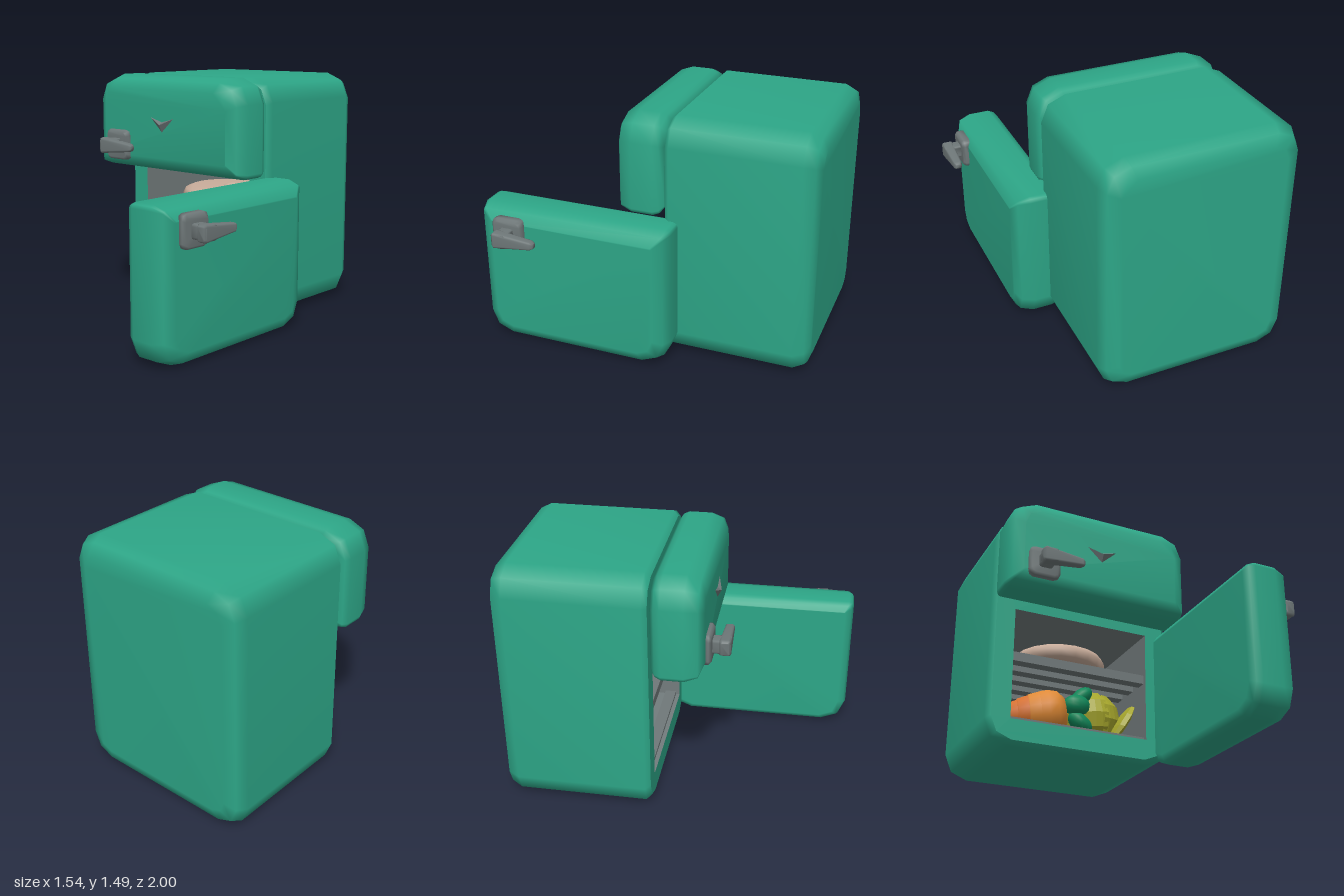
import * as THREE from 'three';

const mat = (name, color, extra = {}) => {
  const m = new THREE.MeshStandardMaterial({ color, ...extra });
  m.name = name;
  return m;
};

// Rounded rectangle outline, counter-clockwise, with separate top and bottom corner radii
function ring({ x0, x1, y0, y1, rT, rB }, inset) {
  const pts = [];
  const a = x0 + inset, b = x1 - inset, c = y0 + inset, d = y1 - inset;
  const t = Math.max(rT - inset * 0.6, 0.008), u = Math.max(rB - inset * 0.6, 0.008);
  [[b - t, d - t, t, 0], [a + t, d - t, t, 1], [a + u, c + u, u, 2], [b - u, c + u, u, 3]].forEach(([x, y, r, q]) => {
    for (let i = 0; i < 3; i++) {
      const ang = (q + i / 2) * Math.PI / 2;
      pts.push([x + r * Math.cos(ang), y + r * Math.sin(ang)]);
    }
  });
  return pts;
}

// Skin a stack of outlines [z, inset] along z, with optional end caps
function loft(rect, sections, frontCap = true) {
  const pos = [], idx = [], n = 12;
  sections.forEach(([z, inset, own]) => ring(own || rect, inset).forEach(([x, y]) => pos.push(x, y, z)));
  for (let s = 0; s < sections.length - 1; s++) {
    for (let j = 0; j < n; j++) {
      const a = s * n + j, b = s * n + (j + 1) % n;
      idx.push(a, b, b + n, a, b + n, a + n);
    }
  }
  const last = (sections.length - 1) * n;
  for (let j = 1; j < n - 1; j++) {
    idx.push(0, j + 1, j);
    if (frontCap) idx.push(last, last + j, last + j + 1);
  }
  const g = new THREE.BufferGeometry();
  g.setAttribute('position', new THREE.Float32BufferAttribute(pos, 3));
  g.setIndex(idx);
  g.computeVertexNormals();
  return g;
}

const block = (w, h, r) => ({ x0: -w / 2, x1: w / 2, y0: -h / 2, y1: h / 2, rT: r, rB: r });

export function createModel() {
  const model = new THREE.Group();
  model.name = 'refrigerator';
  const green = mat('cabinetGreen', 0x2da687);
  const metal = mat('metalGrey', 0x6f7879);
  const metalFlat = mat('emblemGrey', 0x6f7879, { flatShading: true });
  const liner = mat('linerGrey', 0x737c7d, { side: THREE.DoubleSide });
  const orange = mat('carrotOrange', 0xe08a35);
  const deepOrange = mat('carrotDeepOrange', 0xd9722f);
  const leafGreen = mat('carrotLeafGreen', 0x0f8759);
  const lettuce = mat('cabbageGreen', 0xa6a62c, { flatShading: true, side: THREE.DoubleSide });
  const beige = mat('meatBeige', 0xc9ad9b);

  const add = (name, geo, material, parent = model, p = [0, 0, 0]) => {
    const m = new THREE.Mesh(geo, material);
    m.name = name;
    m.position.set(...p);
    parent.add(m);
    return m;
  };

  // Cabinet shell, with a front face cut open for the food compartment
  const bodyRect = { x0: -0.77, x1: 0.42, y0: 0, y1: 1.49, rT: 0.15, rB: 0.15 };
  add('cabinet', loft(bodyRect, [[-1, 0.1], [-0.975, 0.03], [-0.91, 0], [-0.14, 0], [-0.11, 0.03]], false), green);
  const face = new THREE.Shape(ring(bodyRect, 0.03).map(p => new THREE.Vector2(...p)));
  const hole = [[-0.62, 0.16], [-0.62, 0.87], [0.27, 0.87], [0.27, 0.16]];
  face.holes.push(new THREE.Path(hole.map(p => new THREE.Vector2(...p))));
  add('cabinetFront', new THREE.ShapeGeometry(face), green, model, [0, 0, -0.11]);

  // Open-fronted liner
  const lining = new THREE.BoxGeometry(0.89, 0.71, 0.75);
  const li = Array.from(lining.index.array);
  li.splice(24, 6);
  lining.setIndex(li);
  lining.clearGroups();
  add('liner', lining, liner, model, [-0.175, 0.515, -0.485]);

  // Slatted shelf and floor rack
  for (let i = 0; i < 5; i++) {
    const z = -0.17 - i * 0.15;
    add('shelfSlat', new THREE.BoxGeometry(0.886, 0.058, 0.07), metal, model, [-0.175, 0.57, z]);
    add('floorSlat', new THREE.BoxGeometry(0.886, 0.02, 0.07), metal, model, [-0.175, 0.172, z]);
  }

  // Doors: the lower one is swung open, its outer face towards +x
  const doorSections = [[-0.1, 0.05], [-0.075, 0.015], [-0.04, 0], [0.09, 0], [0.165, 0.025], [0.195, 0.085]];
  add('upperDoor', loft({ x0: -0.77, x1: 0.42, y0: 0.9, y1: 1.49, rT: 0.15, rB: 0.03 }, doorSections), green);
  const lower = add('lowerDoor', loft({ x0: -0.6, x1: 0.6, y0: 0, y1: 0.89, rT: 0.03, rB: 0.15 }, doorSections), green);
  lower.position.set(0.433, 0, 0.4);
  lower.rotation.y = Math.PI / 2;

  // Handle: mounting plate, stem and tapered lever
  const makeHandle = (name) => {
    const h = new THREE.Group();
    h.name = name;
    add('handlePlate', loft(block(0.2, 0.19, 0.035), [[-0.02, 0], [0.02, 0], [0.035, 0.015]]), metal, h);
    add('handleStem', loft(block(0.085, 0.085, 0.015), [[0.02, 0], [0.135, 0]]), metal, h, [0, 0, 0]);
    const lever = add('handleLever', loft(null, [
      [-0.05, 0.012, block(0.07, 0.1, 0.015)], [-0.035, 0, block(0.07, 0.1, 0.015)],
      [0.2, 0, block(0.052, 0.05, 0.012)], [0.218, 0.01, block(0.052, 0.05, 0.012)],
    ]), metal, h, [0, 0, 0.105]);
    lever.rotation.y = Math.PI / 2;
    model.add(h);
    return h;
  };
  makeHandle('upperHandle').position.set(-0.56, 1.048, 0.19);
  const lowerHandle = makeHandle('lowerHandle');
  lowerHandle.position.set(0.628, 0.747, 0.79);
  lowerHandle.rotation.y = Math.PI / 2;

  // Raised chevron ornament
  const L = [-0.295, 1.245, 0.19], R = [-0.065, 1.245, 0.19], N = [-0.18, 1.215, 0.19];
  const B = [-0.18, 1.14, 0.19], M = [-0.18, 1.195, 0.22];
  const chevron = new THREE.BufferGeometry();
  chevron.setAttribute('position', new THREE.Float32BufferAttribute(
    [L, B, M, L, M, N, N, M, R, B, R, M].flat(), 3));
  chevron.computeVertexNormals();
  add('chevronOrnament', chevron, metalFlat);

  // Carrot: overlapping ridged bands along its axis
  const carrot = new THREE.Group();
  carrot.name = 'carrot';
  carrot.position.set(-0.61, 0.28, -0.48);
  carrot.quaternion.setFromUnitVectors(new THREE.Vector3(0, 1, 0), new THREE.Vector3(0.42, 0.055, 0.13).normalize());
  model.add(carrot);
  const bands = [
    [[0, 0], [0.04, 0], [0.085, 0.09]],
    [[0.075, 0.08], [0.09, 0.09], [0.112, 0.16]],
    [[0.102, 0.15], [0.118, 0.16], [0.135, 0.23]],
    [[0.125, 0.22], [0.14, 0.23], [0.153, 0.3]],
    [[0.143, 0.29], [0.155, 0.3], [0.16, 0.35], [0.148, 0.41], [0.1, 0.455], [0, 0.47]],
  ];
  bands.forEach((b, i) => add('carrotBand', new THREE.LatheGeometry(b.map(p => new THREE.Vector2(...p)), 14),
    i < 3 ? deepOrange : orange, carrot));

  // Carrot leaves
  [[-0.13, 0.38, -0.28, 0.09, 0.068, 0.1], [-0.085, 0.455, -0.31, 0.085, 0.05, 0.75], [-0.1, 0.27, -0.29, 0.09, 0.055, -0.6]]
    .forEach(([x, y, z, a, b, tilt]) => {
      const leaf = add('carrotLeaf', new THREE.SphereGeometry(1, 12, 8), leafGreen, model, [x, y, z]);
      leaf.scale.set(a, b, 0.06);
      leaf.rotation.z = tilt;
    });

  // Cabbage: faceted heart wrapped in curved outer leaves
  const cabbage = new THREE.Group();
  cabbage.name = 'cabbage';
  cabbage.position.set(0.05, 0.36, -0.46);
  model.add(cabbage);
  add('cabbageHeart', new THREE.IcosahedronGeometry(0.18, 1), lettuce, cabbage);
  for (let i = 0; i < 5; i++) {
    const leaf = add('cabbageLeaf', new THREE.SphereGeometry(0.19, 6, 4, 0, 1.4, 0.5, 2), lettuce, cabbage);
    leaf.rotation.set(0.12 * (i % 2), i * 1.257 + 0.4, 0.1);
  }
  const loose = add('looseLeaf', new THREE.SphereGeometry(1, 7, 5), lettuce, cabbage, [0.15, -0.04, 0.13]);
  loose.scale.set(0.035, 0.16, 0.11);
  loose.rotation.z = -0.55;

  // Round cut of meat with a bone through the centre, on the shelf
  const cut = [[0, -0.058], [0.24, -0.058], [0.285, -0.04], [0.305, 0], [0.285, 0.04], [0.24, 0.058], [0, 0.058]];
  add('meat', new THREE.LatheGeometry(cut.map(p => new THREE.Vector2(...p)), 20), beige, model, [-0.195, 0.69, -0.45]);
  add('meatBone', new THREE.SphereGeometry(1, 12, 8), beige, model, [-0.15, 0.69, -0.45]).scale.set(0.1, 0.08, 0.1);

  return model;
}
